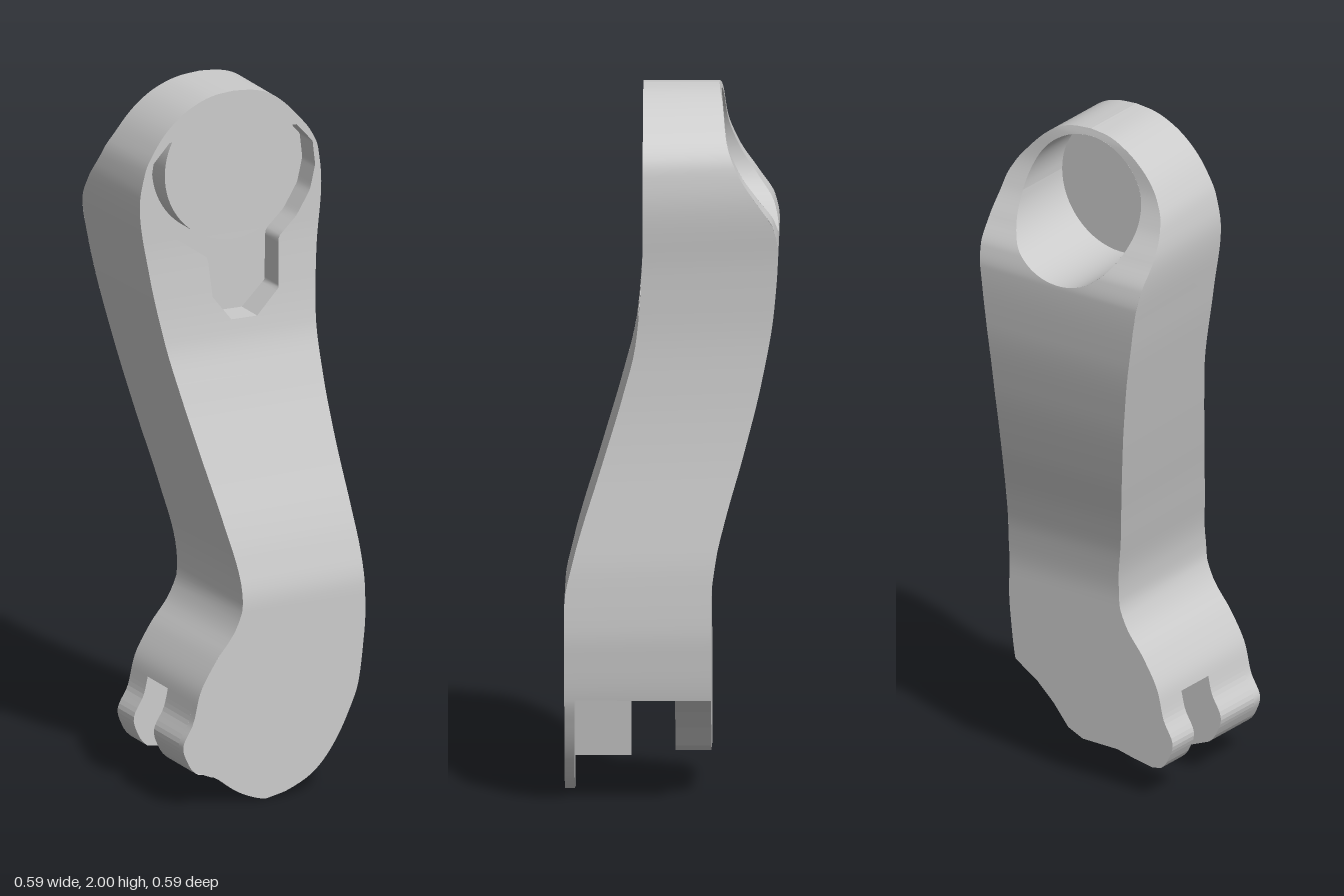
import * as THREE from 'three';

const material = new THREE.MeshStandardMaterial({ color: 0xcccccc, side: THREE.DoubleSide });

// Profile lookup through [y, value] points: monotone cubic, or straight segments
function profile(points, smooth = true) {
  const p = points.slice().sort((a, b) => a[0] - b[0]);
  const d = p.slice(1).map((q, i) => (q[1] - p[i][1]) / (q[0] - p[i][0]));
  const m = p.map((_, i) => {
    if (i === 0) return d[0];
    if (i === p.length - 1) return d[i - 1];
    return d[i - 1] * d[i] <= 0 ? 0 : 2 * d[i - 1] * d[i] / (d[i - 1] + d[i]);
  });
  return y => {
    let i = 0;
    while (i < p.length - 2 && y > p[i + 1][0]) i++;
    const h = p[i + 1][0] - p[i][0];
    const t = THREE.MathUtils.clamp((y - p[i][0]) / h, 0, 1);
    if (!smooth) return p[i][1] + (p[i + 1][1] - p[i][1]) * t;
    const t2 = t * t, t3 = t2 * t;
    return (2 * t3 - 3 * t2 + 1) * p[i][1] + (t3 - 2 * t2 + t) * h * m[i]
      + (3 * t2 - 2 * t3) * p[i + 1][1] + (t3 - t2) * h * m[i + 1];
  };
}

// Outline seen from the front
const xMin = profile([[2, -0.005], [1.995, -0.06], [1.98, -0.11], [1.95, -0.165], [1.9, -0.22], [1.85, -0.255],
  [1.8, -0.28], [1.7, -0.298], [1.5, -0.27], [1.3, -0.23], [1.15, -0.198], [1, -0.165], [0.8, -0.12], [0.62, -0.087],
  [0.57, -0.086], [0.5, -0.11], [0.42, -0.17], [0.33, -0.22], [0.25, -0.24], [0.18, -0.272], [0.13, -0.255],
  [0.1, -0.23], [0.09, -0.19], [0.03, -0.1], [0.005, -0.04], [0, -0.015]]);
const xMax = profile([[2, -0.005], [1.995, 0.05], [1.98, 0.1], [1.95, 0.145], [1.9, 0.195], [1.85, 0.235],
  [1.8, 0.257], [1.7, 0.267], [1.5, 0.25], [1.3, 0.241], [1.15, 0.245], [1, 0.255], [0.8, 0.276], [0.65, 0.291],
  [0.5, 0.295], [0.4, 0.287], [0.3, 0.273], [0.22, 0.243], [0.13, 0.195], [0.06, 0.135], [0.015, 0.05], [0, -0.015]]);
// Front and back curves seen from the side
const zFront = profile([[2, 0.08], [1.6, 0.08], [1.45, 0.086], [1.3, 0.1], [1.15, 0.137], [1, 0.182],
  [0.9, 0.213], [0.8, 0.245], [0.7, 0.273], [0.57, 0.298], [0.5, 0.298], [0, 0.298]]);
const zBack = profile([[2, -0.132], [1.97, -0.14], [1.87, -0.153], [1.78, -0.187], [1.7, -0.24], [1.63, -0.285],
  [1.57, -0.297], [1.4, -0.286], [1.2, -0.252], [1, -0.203], [0.8, -0.147], [0.7, -0.124], [0.57, -0.11], [0.3, -0.11]]);
// Keyhole recess in the front face
const keyMin = profile([[1.34, -0.02], [1.41, -0.075], [1.525, -0.088], [1.6, -0.195], [1.68, -0.25],
  [1.75, -0.266], [1.82, -0.255], [1.875, -0.205]], false);
const keyMax = profile([[1.34, 0.06], [1.41, 0.13], [1.555, 0.133], [1.61, 0.19], [1.68, 0.232],
  [1.75, 0.248], [1.82, 0.24], [1.875, 0.19]], false);

const CX = -0.01, CY = 1.78, BORE = 0.2, BOSS = 0.21, KEY_TOP = 1.875, FLOOR = 0, CUT = 0.3;
const chord = (r, side) => y => CX + side * Math.sqrt(Math.max(0, r * r - (y - CY) ** 2));
const flat = z => () => z;

export function createModel() {
  const group = new THREE.Group();
  const add = (name, geometry) => {
    const mesh = new THREE.Mesh(geometry, material);
    mesh.name = name;
    group.add(mesh);
  };

  // Ruled surface between two edges a(t) and b(t)
  const ribbon = (name, a, b, n = 64) => {
    const pos = [], idx = [];
    for (let i = 0; i <= n; i++) {
      pos.push(...a(i / n), ...b(i / n));
      const k = i * 2;
      if (i < n) idx.push(k, k + 1, k + 3, k, k + 3, k + 2);
    }
    const g = new THREE.BufferGeometry();
    g.setAttribute('position', new THREE.Float32BufferAttribute(pos, 3));
    g.setIndex(idx);
    g.computeVertexNormals();
    add(name, g);
  };
  // Surface rising from y0 to y1, rows packed towards both ends
  const panel = (name, y0, y1, xa, za, xb, zb) => {
    const at = (x, z) => t => {
      const y = y0 + (y1 - y0) * (1 - Math.cos(Math.PI * t)) / 2;
      return [x(y), y, z(y)];
    };
    ribbon(name, at(xa, za), at(xb, zb), 72);
  };
  const frontPanel = (name, y0, y1, xa, xb, z = zFront) => panel(name, y0, y1, xa, z, xb, z);
  const backPanel = (name, y0, y1, xa, xb, z = zBack) => panel(name, y0, y1, xb, z, xa, z);

  // Arm sides
  panel('rightSide', CUT, 2, xMin, zBack, xMin, zFront);
  panel('leftSide', CUT, 2, xMax, zFront, xMax, zBack);

  // Front face around the keyhole
  frontPanel('frontFace', 0, 1.34, xMin, xMax);
  frontPanel('frontFaceRight', 1.34, KEY_TOP, xMin, keyMin);
  frontPanel('frontFaceLeft', 1.34, KEY_TOP, keyMax, xMax);
  frontPanel('frontFaceTop', KEY_TOP, 2, xMin, xMax);

  // Keyhole recess and round boss
  frontPanel('recessFloor', 1.34, KEY_TOP, keyMin, keyMax, flat(FLOOR));
  panel('recessWallRight', 1.34, KEY_TOP, keyMin, zFront, keyMin, flat(FLOOR));
  panel('recessWallLeft', 1.34, KEY_TOP, keyMax, flat(FLOOR), keyMax, zFront);
  ribbon('recessEnd', t => [-0.02 + 0.08 * t, 1.34, FLOOR], t => [-0.02 + 0.08 * t, 1.34, zFront(1.34)], 1);
  frontPanel('bossFace', CY - BOSS, KEY_TOP, chord(BOSS, -1), chord(BOSS, 1));
  for (const s of [-1, 1]) {
    panel('bossWall', CY - BOSS, KEY_TOP, chord(BOSS, s), flat(FLOOR), chord(BOSS, s), zFront);
  }

  // Back face around the bore
  backPanel('backFace', CUT, CY - BORE, xMin, xMax);
  backPanel('backFaceRight', CY - BORE, CY + BORE, xMin, chord(BORE, -1));
  backPanel('backFaceLeft', CY - BORE, CY + BORE, chord(BORE, 1), xMax);
  backPanel('backFaceTop', CY + BORE, 2, xMin, xMax);

  // Bore
  const ring = z => t => {
    const a = t * Math.PI * 2, y = CY + BORE * Math.sin(a);
    return [CX + BORE * Math.cos(a), y, z(y)];
  };
  ribbon('boreWall', ring(zBack), ring(flat(FLOOR)));
  backPanel('boreFloor', CY - BORE, CY + BORE, chord(BORE, -1), chord(BORE, 1), flat(FLOOR - 0.004));

  // Flat underside and front plate below it
  ribbon('underside', t => [xMin(CUT), CUT, -0.11 + 0.408 * t], t => [xMax(CUT), CUT, -0.11 + 0.408 * t], 1);
  const plate = flat(0.27);
  backPanel('plateBack', 0, CUT, xMin, xMax, plate);
  panel('plateEdgeRight', 0, CUT, xMin, plate, xMin, zFront);
  panel('plateEdgeLeft', 0, CUT, xMax, zFront, xMax, plate);

  // Lower lugs: outer edge follows the outline, closed by a few inner corners
  const lug = (name, yLow, corners, z0, depth) => {
    const pts = corners.map(c => new THREE.Vector2(...c));
    for (let i = 0; i <= 16; i++) {
      const y = yLow + (CUT - yLow) * i / 16;
      pts.push(new THREE.Vector2(xMin(y), y));
    }
    const g = new THREE.ExtrudeGeometry(new THREE.Shape(pts), { depth, bevelEnabled: false });
    add(name, g.translate(0, 0, z0));
  };
  lug('frontLug', 0.1, [[-0.1, CUT], [-0.14, 0.07], [-0.17, 0.075]], 0.115, 0.156);
  lug('backLug', 0.1, [[0.273, CUT], [0.2, 0.255], [0.14, 0.2], [0.09, 0.14], [0.04, 0.118], [-0.08, 0.118],
    [-0.14, 0.105], [-0.2, 0.095]], -0.11, 0.1);

  return group;
}
